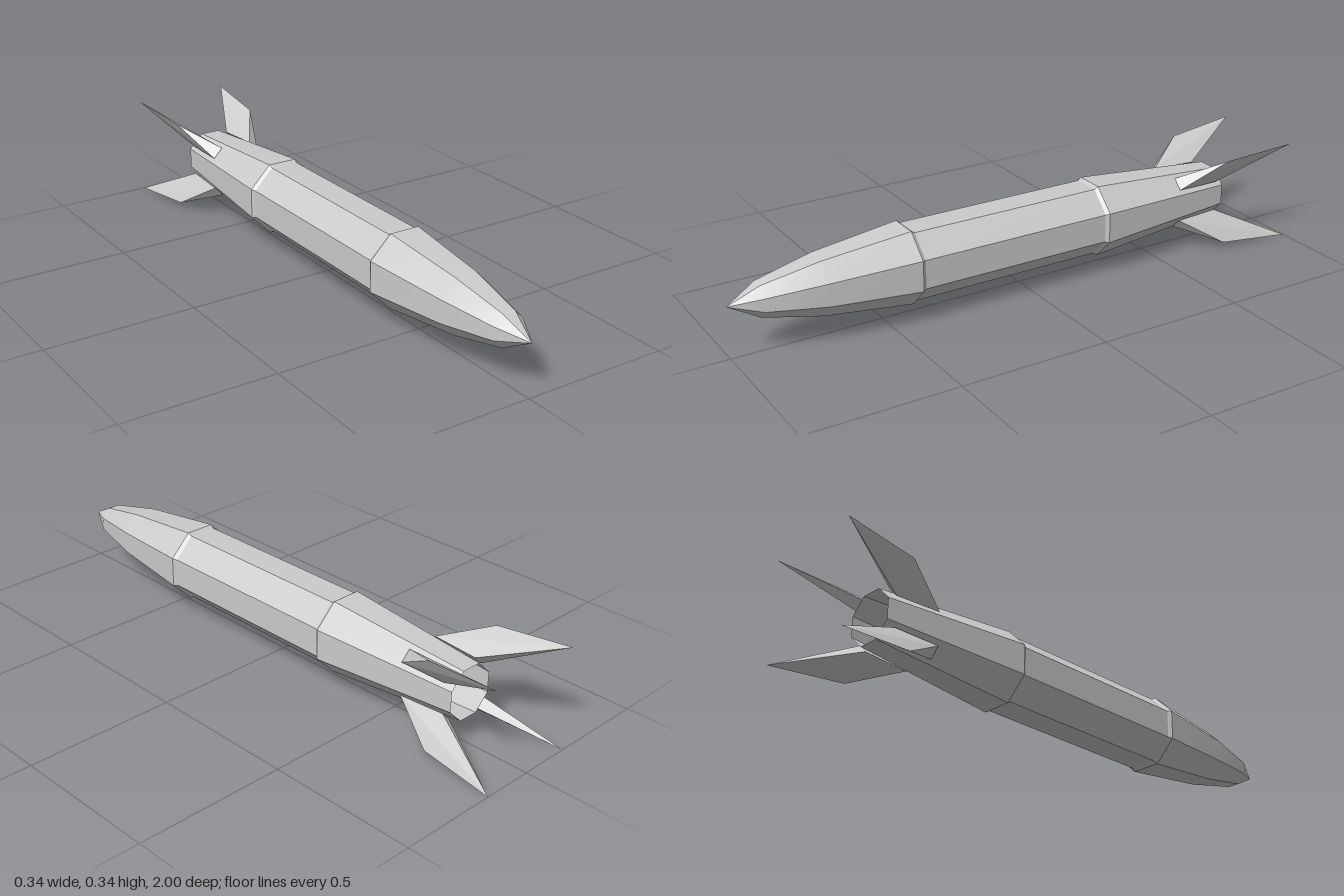
import * as THREE from 'three';
import { toCreasedNormals } from 'three/addons/utils/BufferGeometryUtils.js';

const AXIS_Y = 0.172;

// Octagonal hull: lathe profile of [apothem, z], flat side up, open at the tail
function hullGeometry(profile) {
  const k = 1 / Math.cos(Math.PI / 8);
  const points = profile.map(([a, z]) => new THREE.Vector2(a * k, z));
  const geo = new THREE.LatheGeometry(points, 8, Math.PI / 8);
  geo.rotateX(Math.PI / 2);
  return toCreasedNormals(geo, 0.4);
}

// Swept wedge fin: thick root, knife-edge outer side; local x points outwards
function finGeometry() {
  const A = [0.102, 0.023, -0.592], B = [0.102, -0.023, -0.592]; // root front
  const C = [0.094, 0.021, -0.75], D = [0.094, -0.021, -0.75];   // root rear
  const S = [0.212, 0, -0.745], T = [0.242, 0, -1];              // shoulder, tip
  const faces = [
    A, S, T, A, T, C, // one side
    B, T, S, B, D, T, // other side
    A, B, S,          // leading face
    C, T, D,          // trailing face
    A, C, D, A, D, B, // root
  ];
  const geo = new THREE.BufferGeometry();
  geo.setAttribute('position', new THREE.Float32BufferAttribute(faces.flat(), 3));
  geo.computeVertexNormals();
  return geo;
}

export function createModel() {
  const model = new THREE.Group();
  model.name = 'rocket';
  const material = new THREE.MeshStandardMaterial({ color: 0xcccccc, side: THREE.DoubleSide });

  // Hull from tail to nose, with a small step at each section joint
  const hull = new THREE.Mesh(hullGeometry([
    [0.083, -0.78],
    [0.123, -0.277],
    [0.115, -0.265],
    [0.115, 0.402],
    [0.123, 0.415],
    [0.091, 0.71],
    [0.052, 0.9],
    [0, 1],
  ]), material);
  hull.name = 'hull';
  hull.position.y = AXIS_Y;
  model.add(hull);

  // Four diagonal tail fins
  const geo = finGeometry();
  for (let i = 0; i < 4; i++) {
    const fin = new THREE.Mesh(geo, material);
    fin.name = 'tailFin' + (i + 1);
    fin.position.y = AXIS_Y;
    fin.rotation.z = Math.PI / 4 + i * Math.PI / 2;
    model.add(fin);
  }
  return model;
}
